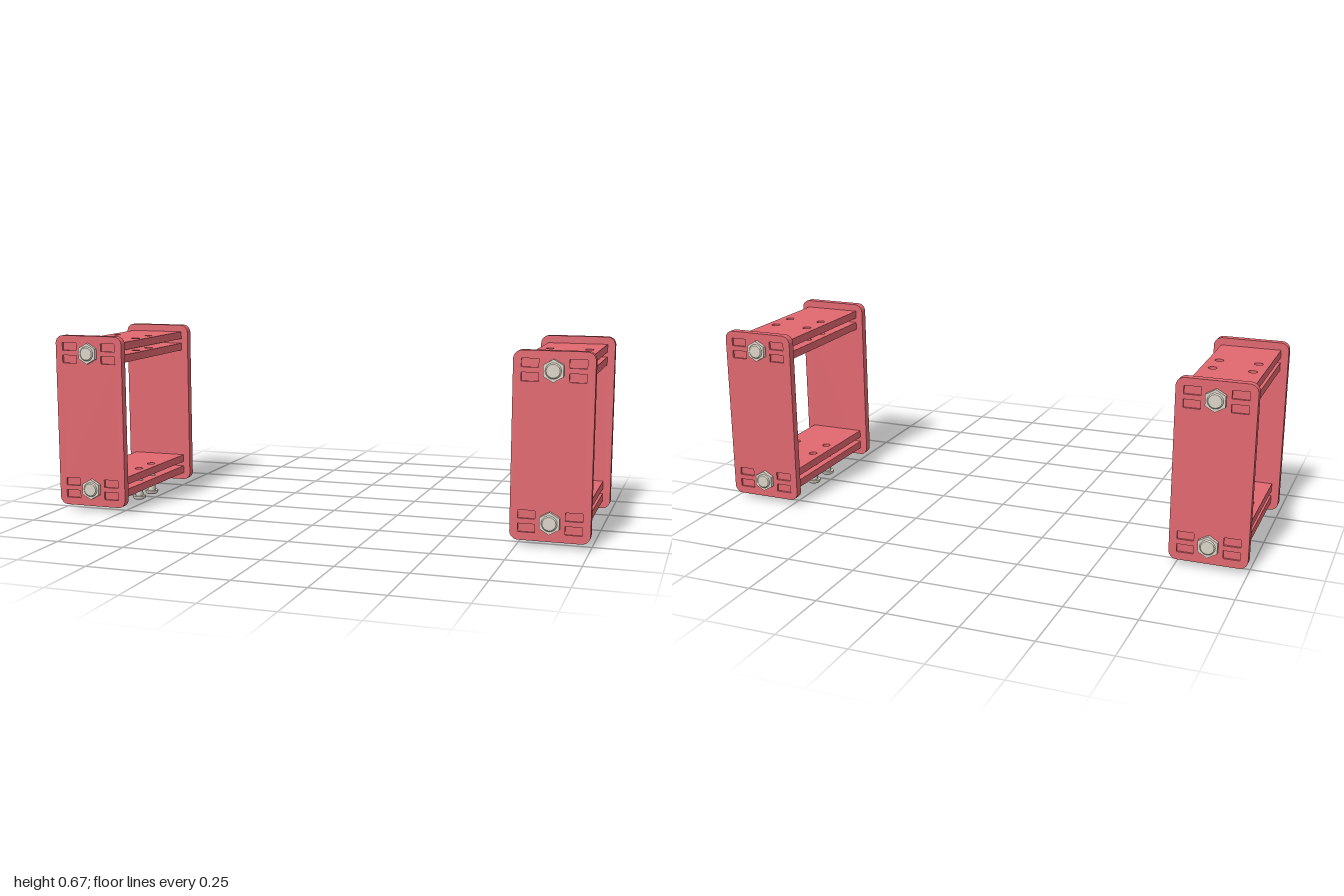
import * as THREE from 'three';
import { toCreasedNormals } from 'three/addons/utils/BufferGeometryUtils.js';

const red = new THREE.MeshStandardMaterial({ color: 0xe0676f });
const steel = new THREE.MeshStandardMaterial({ color: 0xd9d2c6 });

const T = 0.029;               // sheet thickness
const BEAMS = [0.086, 0.6];    // heights of the two rods
const LAYERS = [-0.0235, 0.0235]; // sheet centres above and below each rod
const SIDES = [-1, 1];
const TAB = [0.051, 0.109];    // tab and slot span in x
const SCREW_X = 0.069, SCREW_Z = 0.054;

function mesh(name, geometry, material) {
  const m = new THREE.Mesh(geometry, material);
  m.name = name;
  return m;
}

function circle(x, y, r) {
  return new THREE.Path().absarc(x, y, r, 0, Math.PI * 2, true);
}

function extrude(shape, depth) {
  const g = new THREE.ExtrudeGeometry(shape, { depth, bevelEnabled: false, curveSegments: 10 });
  g.translate(0, 0, -depth / 2);
  return toCreasedNormals(g, 0.6);
}

// Upright end plate with rounded corners, tab slots and rod holes
function endPlateGeometry() {
  const w = 0.1365, y0 = 0.02, y1 = 0.665, r = 0.03;
  const s = new THREE.Shape();
  s.absarc(w - r, y0 + r, r, -Math.PI / 2, 0);
  s.absarc(w - r, y1 - r, r, 0, Math.PI / 2);
  s.absarc(-w + r, y1 - r, r, Math.PI / 2, Math.PI);
  s.absarc(-w + r, y0 + r, r, Math.PI, Math.PI * 1.5);
  s.closePath();
  for (const y of BEAMS) {
    s.holes.push(circle(0, y, 0.027));
    for (const dy of LAYERS) for (const side of SIDES) {
      const a = side * TAB[0], b = side * TAB[1];
      const lo = y + dy - T / 2, hi = y + dy + T / 2;
      s.holes.push(new THREE.Path([[a, lo], [a, hi], [b, hi], [b, lo]].map(p => new THREE.Vector2(...p))));
    }
  }
  return extrude(s, T);
}

// Horizontal sheet with four tabs and four screw holes
function sheetGeometry() {
  const [a, b] = TAB, z = 0.272, e = 0.293;
  const half = [[b, -e], [b, e], [a, e], [a, z], [-a, z], [-a, e]];
  const points = [...half, ...half.map(([x, y]) => [-x, -y])];
  const s = new THREE.Shape(points.map(p => new THREE.Vector2(...p)));
  for (const sx of SIDES) for (const sz of SIDES) {
    s.holes.push(circle(sx * SCREW_X, sz * SCREW_Z, 0.0155));
  }
  return extrude(s, T).rotateX(-Math.PI / 2);
}

function lathe(points, segments) {
  const g = new THREE.LatheGeometry(points.map(p => new THREE.Vector2(...p)), segments);
  return toCreasedNormals(g, 0.6);
}

function createFrame() {
  const frame = new THREE.Group();
  const plate = endPlateGeometry();
  const sheet = sheetGeometry();

  // Rod with chamfered ends
  const rod = lathe([[0, -0.32], [0.023, -0.32], [0.027, -0.316], [0.027, 0.316], [0.023, 0.32], [0, 0.32]], 28)
    .rotateX(Math.PI / 2);
  // Hex nut with a point at top and bottom
  const nut = toCreasedNormals(new THREE.CylinderGeometry(0.039, 0.039, 0.0155, 6), 0.5).rotateX(Math.PI / 2);
  // Screw with a domed head pointing down
  const screw = lathe([
    [0, 0], [0.013, 0], [0.019, 0.002], [0.0235, 0.006], [0.026, 0.012], [0.026, 0.016],
    [0.015, 0.016], [0.015, 0.09], [0.012, 0.094], [0, 0.094]
  ], 24);

  for (const side of SIDES) {
    const p = mesh(side > 0 ? 'frontPlate' : 'backPlate', plate, red);
    p.position.z = side * 0.2865;
    frame.add(p);
  }

  for (const y of BEAMS) {
    for (const dy of LAYERS) {
      const s = mesh('crossSheet', sheet, red);
      s.position.y = y + dy;
      frame.add(s);
    }
    const r = mesh('rod', rod, steel);
    r.position.y = y;
    frame.add(r);
    for (const side of SIDES) {
      const n = mesh('nut', nut, steel);
      n.position.set(0, y, side * 0.30825);
      frame.add(n);
    }
  }

  for (const sx of SIDES) for (const sz of SIDES) {
    const m = mesh('screw', screw, steel);
    m.position.set(sx * SCREW_X, 0, sz * SCREW_Z);
    frame.add(m);
  }
  return frame;
}

export function createModel() {
  const model = new THREE.Group();
  model.name = 'bracketFrames';
  for (const side of SIDES) {
    const frame = createFrame();
    frame.name = side > 0 ? 'leftFrame' : 'rightFrame';
    frame.position.x = side * 0.8635;
    model.add(frame);
  }
  return model;
}
